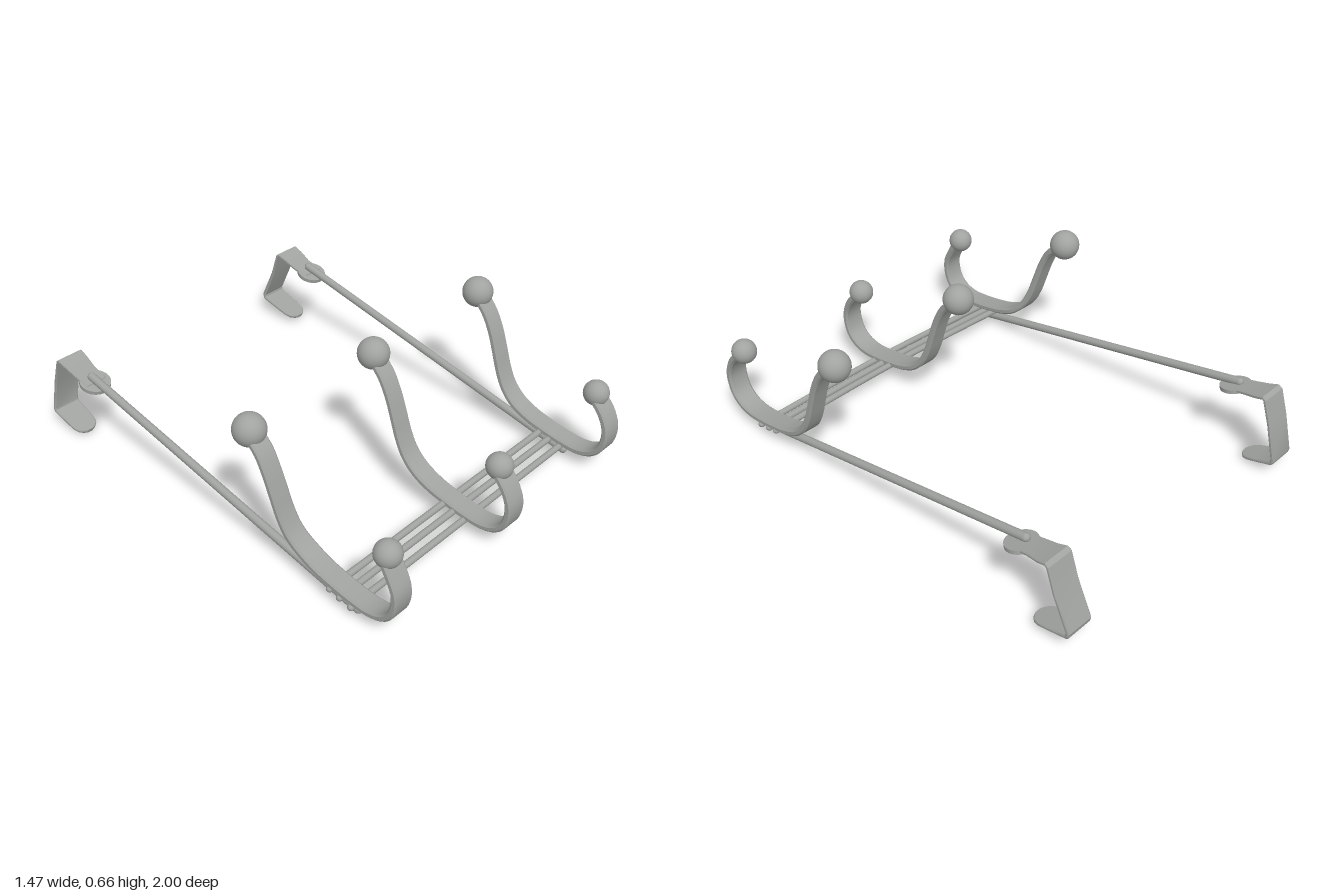
import * as THREE from 'three';
import { toCreasedNormals } from 'three/addons/utils/BufferGeometryUtils.js';

const metal = new THREE.MeshStandardMaterial({ color: 0xa0a3a0 });
metal.name = 'satin grey metal';

function add(parent, name, geometry) {
  const mesh = new THREE.Mesh(geometry, metal);
  mesh.name = name;
  parent.add(mesh);
  return mesh;
}

// Flat bar swept along stations {x, y, z, w}, with w the half width and t the half thickness
function strip(stations, t, crease) {
  const pos = [], idx = [], n = 8;
  const X = new THREE.Vector3(1, 0, 0);
  const pts = stations.map(s => new THREE.Vector3(0, s.y, s.z));
  stations.forEach((s, i) => {
    const before = pts[i].clone().sub(pts[Math.max(i - 1, 0)]).normalize();
    const after = pts[Math.min(i + 1, pts.length - 1)].clone().sub(pts[i]).normalize();
    const T = before.clone().add(after).normalize();
    const mitre = i > 0 && i < pts.length - 1 ? 1 / Math.max(0.6, T.dot(after)) : 1;
    const N = T.clone().cross(X);
    const c = t * 0.5, w = s.w;
    const ring = [[w, -t + c], [w, t - c], [w - c, t], [c - w, t], [-w, t - c], [-w, c - t], [c - w, -t], [w - c, -t]];
    for (const [u, v] of ring) pos.push(s.x + u, s.y + N.y * v * mitre, s.z + N.z * v * mitre);
  });
  for (let i = 0; i < stations.length - 1; i++) {
    for (let j = 0; j < n; j++) {
      const a = i * n + j, b = i * n + (j + 1) % n;
      idx.push(a, b, b + n, a, b + n, a + n);
    }
  }
  const last = (stations.length - 1) * n;
  for (let j = 1; j < n - 1; j++) idx.push(0, j + 1, j, last, last + j, last + j + 1);
  const g = new THREE.BufferGeometry();
  g.setAttribute('position', new THREE.Float32BufferAttribute(pos, 3));
  g.setIndex(idx);
  return toCreasedNormals(g, crease);
}

// Round rod through a few points
function rod(points, r) {
  const g = new THREE.Group();
  const v = points.map(p => new THREE.Vector3(...p));
  add(g, 'rodShaft', new THREE.TubeGeometry(new THREE.CatmullRomCurve3(v), 24, r, 12));
  for (const p of [v[0], v[v.length - 1]]) {
    const cap = add(g, 'rodEnd', new THREE.SphereGeometry(r, 12, 8));
    cap.position.copy(p);
  }
  return g;
}

// Double hook: curved bar with a ball at each tip; x drifts from front to back
function makeHook(xFront, xBack, yTop, zFront) {
  const hook = new THREE.Group();
  hook.name = 'hook';
  const path = [[zFront, 0.37], [0.95, 0.31], [0.978, 0.25], [0.981, 0.2], [0.963, 0.14], [0.92, 0.1],
    [0.86, 0.083], [0.78, 0.086], [0.68, 0.102], [0.6, 0.122], [0.53, 0.155], [0.475, 0.21],
    [0.44, 0.28], [0.41, 0.37], [0.38, 0.455], [0.34, 0.53], [0.275, yTop]];
  const curve = new THREE.CatmullRomCurve3(path.map(([z, y]) => new THREE.Vector3(0, y, z)));
  const stations = curve.getSpacedPoints(64).map(p => {
    const k = THREE.MathUtils.smoothstep(0.56 - p.z, 0, 0.2);
    return { x: THREE.MathUtils.lerp(xFront, xBack, k), y: p.y, z: p.z, w: 0.046 - 0.005 * k };
  });
  add(hook, 'hookBar', strip(stations, 0.015, 0.6));
  add(hook, 'smallBall', new THREE.SphereGeometry(0.054, 32, 20)).position.set(xFront, 0.375, zFront);
  add(hook, 'largeBall', new THREE.SphereGeometry(0.066, 32, 20)).position.set(xBack, yTop, 0.272);
  return hook;
}

// Over-door bracket: sloping top plate, back plate, and rounded lip
function makeBracket(x, xBack, back, drop) {
  const g = new THREE.Group();
  g.name = 'doorBracket';
  const s = (z, y, w, px = xBack) => ({ x: px, y, z, w });
  const lipY = 0.073 + drop;
  const lip = k => [THREE.MathUtils.lerp(back + 0.01, -0.8, k), THREE.MathUtils.lerp(lipY, 0.022 + drop, k)];
  const stations = [
    s(-0.70, 0.317, 0.05, x), s(-0.78, 0.336, 0.052, x), s(-0.84, 0.353, 0.058), s(-0.878, 0.366, 0.061),
    s(-0.89, 0.358, 0.062), s(-0.925, 0.25, 0.062), s(back, 0.095 + drop, 0.062), s(back + 0.003, 0.08 + drop, 0.062),
  ];
  for (const [k, w] of [[0, 0.061], [0.5, 0.058], [0.75, 0.055], [0.88, 0.046], [0.96, 0.03], [1, 0.015]])
    stations.push(s(...lip(k), w));
  add(g, 'bentPlate', strip(stations, 0.008, 0.5));
  const pad = add(g, 'roundPad', new THREE.CylinderGeometry(0.066, 0.066, 0.017, 40));
  pad.position.set(x, 0.316, -0.71);
  pad.rotation.x = 0.24;
  return g;
}

export function createModel() {
  const model = new THREE.Group();
  model.name = 'overDoorHookRack';

  model.add(makeHook(-0.64, -0.67, 0.587, 0.915));
  model.add(makeHook(0.01, 0, 0.6, 0.9));
  model.add(makeHook(0.667, 0.666, 0.6, 0.895));

  // Three thin cross rods, bowed slightly upward in the middle
  [[0.68, 0.088], [0.73, 0.077], [0.785, 0.066]].forEach(([z, y]) => {
    const r = rod([[-0.675, y - 0.012, z - 0.004], [0, y + 0.004, z + 0.003], [0.705, y, z - 0.003]], 0.014);
    r.name = 'crossRod';
    model.add(r);
  });

  // Long rods running back to the brackets
  for (const [x0, x1, dy] of [[-0.638, -0.645, -0.004], [0.656, 0.656, 0.01]]) {
    const r = rod([[x0, 0.027 + dy, 0.785], [x1, 0.341 + dy * 0.5, -0.725]], 0.018);
    r.name = 'longRod';
    model.add(r);
  }

  model.add(makeBracket(-0.642, -0.638, -0.965, -0.004));
  model.add(makeBracket(0.66, 0.667, -0.99, 0.012));
  return model;
}
